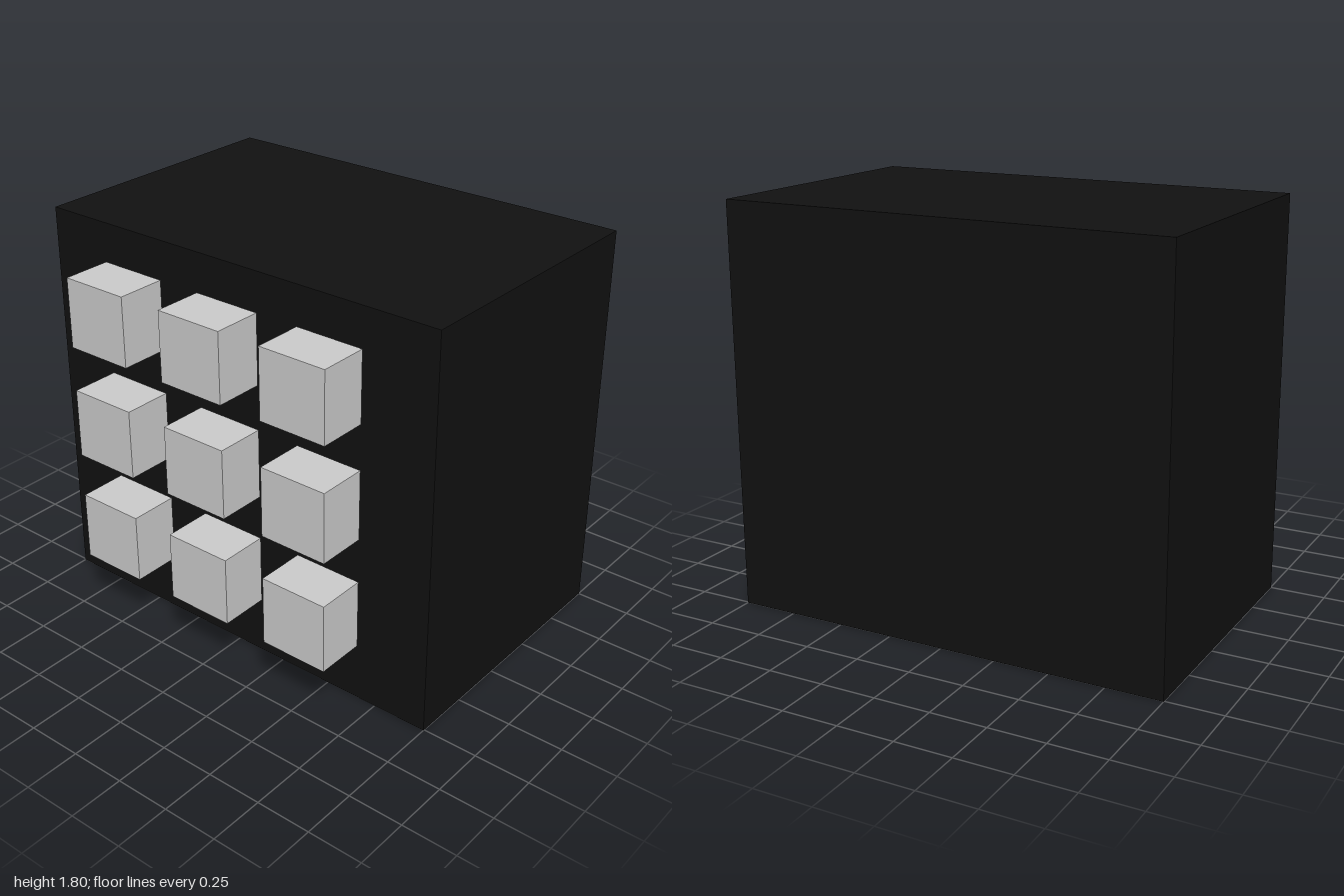
import * as THREE from 'three';

export function createModel() {
  const model = new THREE.Group();
  const dark = new THREE.MeshStandardMaterial({ color: 0x111111 });
  const grey = new THREE.MeshStandardMaterial({ color: 0xcccccc });

  // Main block
  const body = new THREE.Mesh(new THREE.BoxGeometry(2, 1.8, 1.26), dark);
  body.name = 'body';
  body.position.set(0, 0.9, -0.125);
  model.add(body);

  // Three by three grid of blocks floating just ahead of the front face
  const buttons = new THREE.Group();
  buttons.name = 'buttons';
  const buttonGeometry = new THREE.BoxGeometry(0.315, 0.315, 0.222);
  const pitch = 0.517;
  for (let row = -1; row <= 1; row++) {
    for (let column = -1; column <= 1; column++) {
      const button = new THREE.Mesh(buttonGeometry, grey);
      button.name = 'button';
      button.position.set(column * pitch, 0.965 + row * pitch, 0.644);
      buttons.add(button);
    }
  }
  model.add(buttons);

  return model;
}
